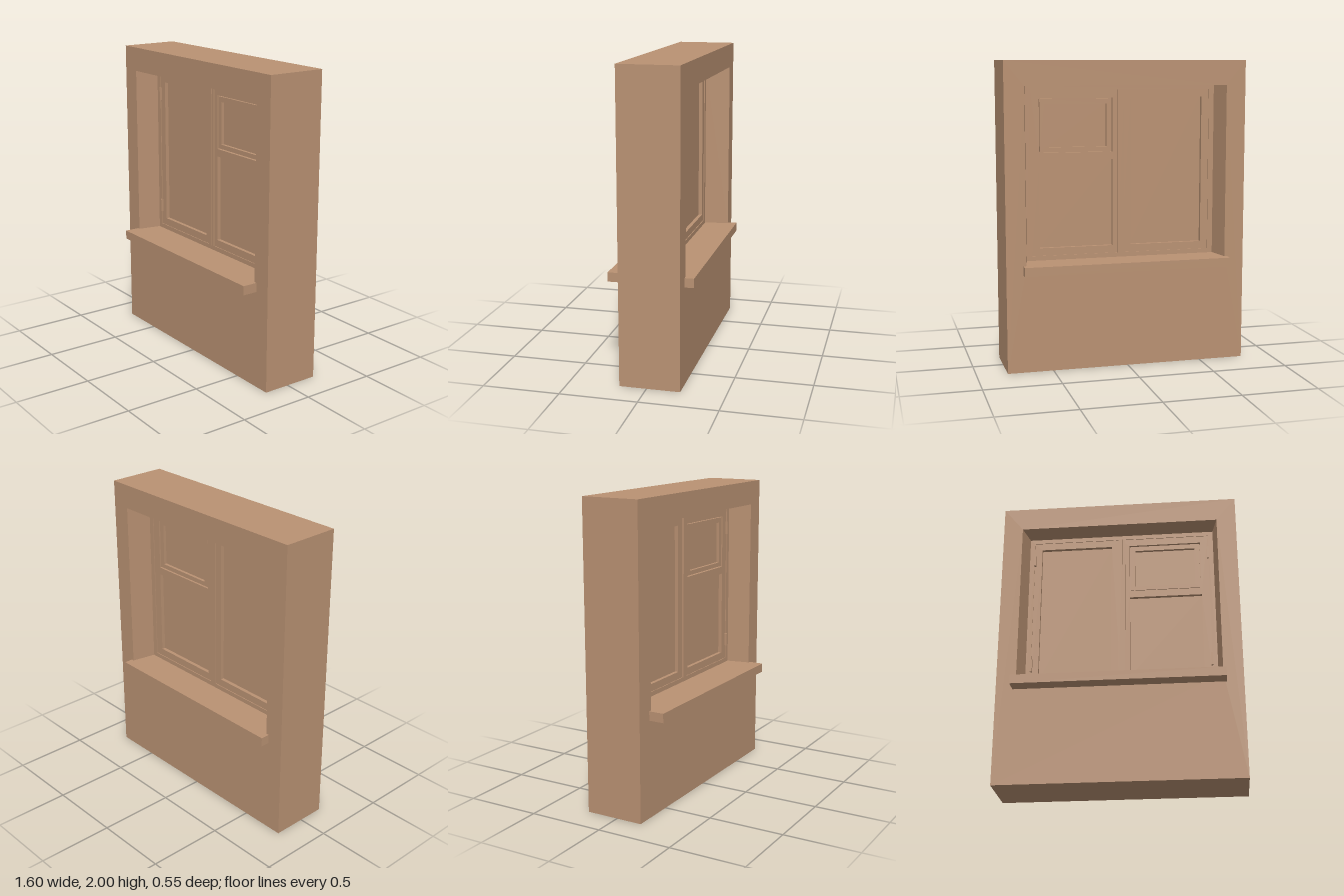
import * as THREE from 'three';

const material = new THREE.MeshStandardMaterial({ color: 0xba9273 });

function add(parent, name, geometry) {
  const mesh = new THREE.Mesh(geometry, material);
  mesh.name = name;
  parent.add(mesh);
  return mesh;
}

// Box given by its limits on each axis
function box(parent, name, x0, x1, y0, y1, z0, z1) {
  const g = new THREE.BoxGeometry(x1 - x0, y1 - y0, z1 - z0);
  g.translate((x0 + x1) / 2, (y0 + y1) / 2, (z0 + z1) / 2);
  return add(parent, name, g);
}

function rectangle(Type, [x0, x1, y0, y1]) {
  return new Type([[x0, y0], [x1, y0], [x1, y1], [x0, y1]].map((p) => new THREE.Vector2(...p)));
}

// Flat slab with rectangular holes, rectangles as [x0, x1, y0, y1]
function framed(parent, name, outer, holes, z0, z1) {
  const shape = rectangle(THREE.Shape, outer);
  shape.holes = holes.map((h) => rectangle(THREE.Path, h));
  const g = new THREE.ExtrudeGeometry(shape, { depth: z1 - z0, bevelEnabled: false });
  g.translate(0, 0, z0);
  return add(parent, name, g);
}

export function createModel() {
  const model = new THREE.Group();
  model.name = 'windowInWall';
  const back = -0.215, front = 0.175;
  const bottom = 0.7, top = 1.84;

  // Wall with the window opening
  framed(model, 'wall', [-0.8, 0.8, 0, 2], [[-0.67, 0.67, bottom, top]], back, front);

  // Splayed reveals narrowing towards the window on both faces
  for (const s of [-1, 1]) {
    const profile = [[0.67, front], [0.64, 0.02], [0.64, -0.05], [0.67, back]];
    const shape = new THREE.Shape(profile.map(([x, z]) => new THREE.Vector2(s * x, -z)));
    const g = new THREE.ExtrudeGeometry(shape, { depth: top - bottom, bevelEnabled: false });
    g.rotateX(-Math.PI / 2).translate(0, bottom, 0);
    add(model, s > 0 ? 'leftReveal' : 'rightReveal', g);
  }

  // Sills projecting from each face
  box(model, 'frontSill', -0.69, 0.69, 0.64, bottom, front, 0.275);
  box(model, 'backSill', -0.69, 0.69, 0.64, bottom, -0.275, back);

  // Fixed outer frame
  const win = new THREE.Group();
  win.name = 'window';
  model.add(win);
  framed(win, 'outerFrame', [-0.64, 0.64, bottom, top], [[-0.605, 0.605, 0.73, 1.81]], -0.05, 0.02);

  // Single-pane sash, and a divided sash with room for the small vent
  const panes = [[-0.555, -0.065, 0.78, 1.76], [0.06, 0.55, 0.78, 1.355]];
  const ventHole = [0.06, 0.55, 1.405, 1.76];
  const ventPane = [0.1, 0.51, 1.44, 1.72];
  framed(win, 'rightSash', [-0.605, 0, 0.73, 1.81], [panes[0]], -0.045, 0.015);
  framed(win, 'leftSash', [0, 0.605, 0.73, 1.81], [panes[1], ventHole], -0.045, 0.015);
  framed(win, 'ventSash', [0.066, 0.544, 1.411, 1.754], [ventPane], -0.04, 0.01);

  // Panes
  for (const [x0, x1, y0, y1] of [...panes, ventHole]) {
    box(win, 'pane', x0, x1, y0, y1, -0.02, -0.01);
  }

  // Cover strips where the sashes meet
  box(win, 'meetingStrip', -0.017, 0.029, 0.73, 1.81, -0.052, 0.024);
  box(win, 'meetingBead', -0.017, 0.013, 0.73, 1.81, 0.024, 0.03);

  // Hinges on the outer edges
  for (const s of [-1, 1]) {
    for (const y of [0.825, 1.63]) {
      const x = s * 0.603;
      box(win, 'hinge', x - 0.007, x + 0.007, y, y + 0.088, 0.01, 0.032);
    }
  }
  return model;
}
